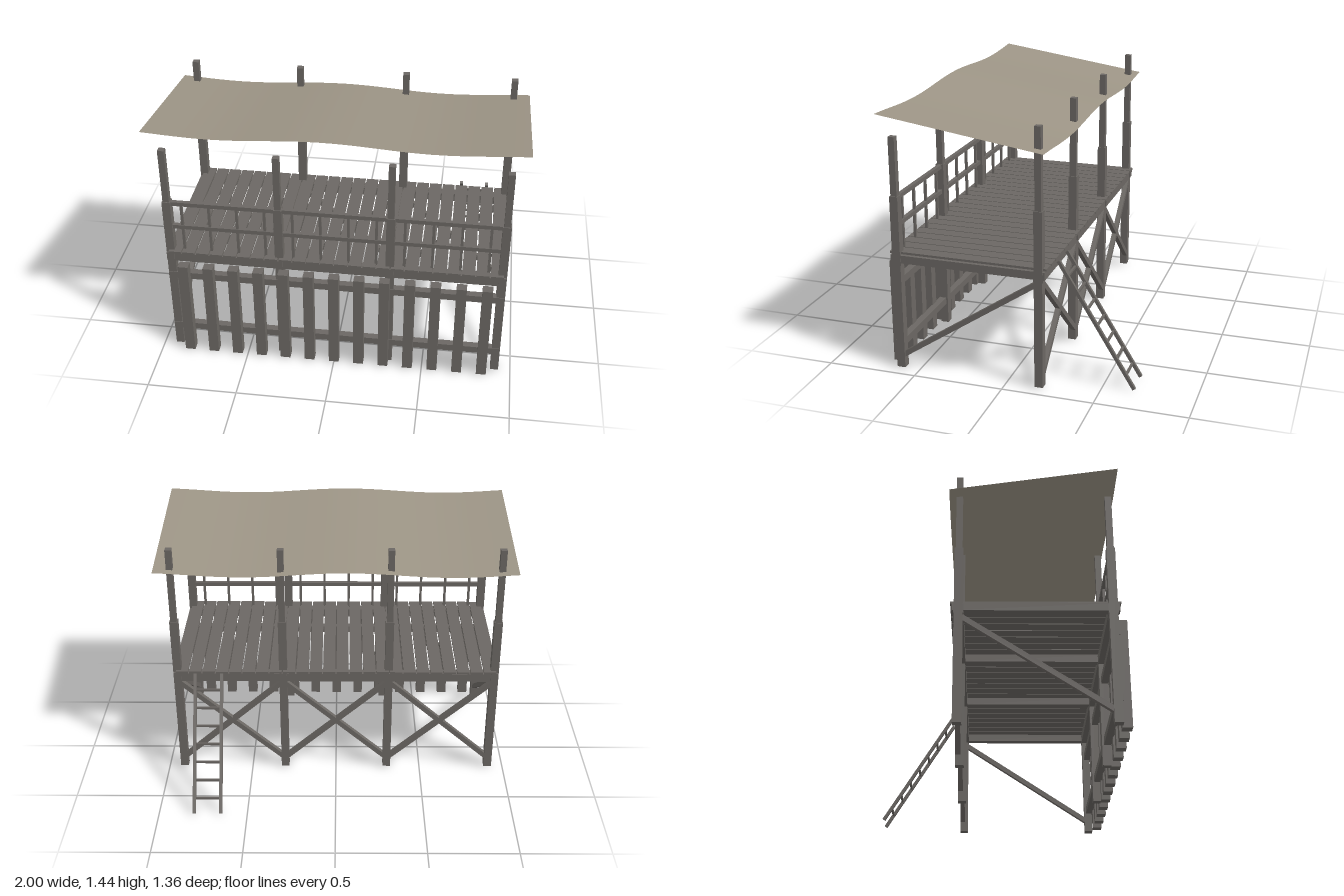
import * as THREE from 'three';

export function createModel() {
  const model = new THREE.Group();
  model.name = 'watchPlatform';
  const wood = new THREE.MeshStandardMaterial({ color: 0x6b6763 });
  wood.name = 'weatheredWood';
  const cloth = new THREE.MeshStandardMaterial({ color: 0x9c9485, side: THREE.DoubleSide });
  cloth.name = 'canvas';

  const groups = {};
  const add = (name, mesh) => {
    if (!groups[name]) {
      groups[name] = new THREE.Group();
      groups[name].name = name;
      model.add(groups[name]);
    }
    mesh.name = name;
    groups[name].add(mesh);
    return mesh;
  };
  // Box given by centre and size
  const box = (name, x, y, z, w, h, d) => {
    const m = new THREE.Mesh(new THREE.BoxGeometry(w, h, d), wood);
    m.position.set(x, y, z);
    return add(name, m);
  };
  // Square bar running from a to b
  const bar = (name, a, b, w, d = w) => {
    const p = new THREE.Vector3(...a), q = new THREE.Vector3(...b);
    const m = box(name, 0, 0, 0, w, d, p.distanceTo(q));
    m.position.copy(p).add(q).multiplyScalar(0.5);
    m.lookAt(q);
    return m;
  };

  const postX = [-0.91, -0.303, 0.303, 0.91];
  const frontZ = 0.606, backZ = -0.183;

  // Posts with thinner upper poles, and the joists between them
  for (const x of postX) {
    for (const [z, top] of [[frontZ, 1.31], [backZ, 1.43]]) {
      box('post', x, 0.5, z, 0.046, 0.98, 0.046);
      box('upperPole', x, (0.95 + top) / 2, z, 0.035, top - 0.95, 0.035);
    }
    box('joist', x, 0.643, 0.2115, 0.042, 0.044, 0.857);
  }

  // Long beams under the deck
  for (const z of [frontZ, backZ]) box('longBeam', 0, 0.633, z, 1.865, 0.05, 0.052);

  // Deck planks running front to back
  const planks = 24, pitch = 1.84 / planks;
  for (let i = 0; i < planks; i++) {
    box('deckPlank', (i + 0.5 - planks / 2) * pitch, 0.674, 0.2115, pitch - 0.007, 0.012, 0.873);
  }

  // Palisade and its two rails
  for (const y of [0.508, 0.146]) box('palisadeRail', 0, y, 0.613, 1.865, 0.04, 0.04);
  for (let i = -6; i <= 6; i++) box('palisadeStake', i * 0.1395, 0.305, 0.654, 0.056, 0.59, 0.052);

  // Front railing
  for (const y of [0.976, 0.828]) box('handRail', 0, y, frontZ, 1.83, 0.023, 0.023);
  for (const bay of [-0.606, 0, 0.606]) {
    for (const dx of [-0.227, -0.076, 0.076, 0.227]) {
      box('baluster', bay + dx, 0.822, frontZ, 0.014, 0.3, 0.014);
    }
    // Crossed braces at the back of each bay
    for (const s of [-1, 1]) {
      bar('backBrace', [bay - s * 0.3, 0.07, -0.192], [bay + s * 0.3, 0.6, -0.192], 0.028);
    }
  }

  // Diagonal braces at both ends
  for (const x of [-0.91, 0.91]) bar('endBrace', [x, 0.08, 0.595], [x, 0.6, -0.183], 0.028);

  // Ladder leaning on the back
  const bottom = [0.01, -0.668], top = [0.685, -0.252];
  for (const x of [0.65, 0.8]) bar('ladderRail', [x, ...bottom], [x, ...top], 0.018);
  for (let i = 0; i < 7; i++) {
    const z = -0.622 + i * 0.0535;
    const y = bottom[0] + (z - bottom[1]) / (top[1] - bottom[1]) * (top[0] - bottom[0]);
    box('ladderRung', 0.725, y, z, 0.15, 0.012, 0.012);
  }

  // Sloping, gently waved canvas roof
  const roof = new THREE.PlaneGeometry(2, 0.895, 32, 2);
  roof.rotateX(-Math.PI / 2);
  const p = roof.attributes.position;
  for (let i = 0; i < p.count; i++) {
    const x = p.getX(i), z = p.getZ(i) + 0.21;
    p.setXYZ(i, x, 1.335 + z * 0.15 + 0.013 * Math.cos((x + 0.06) * 5.4), z);
  }
  roof.computeVertexNormals();
  add('canvasRoof', new THREE.Mesh(roof, cloth));

  return model;
}
